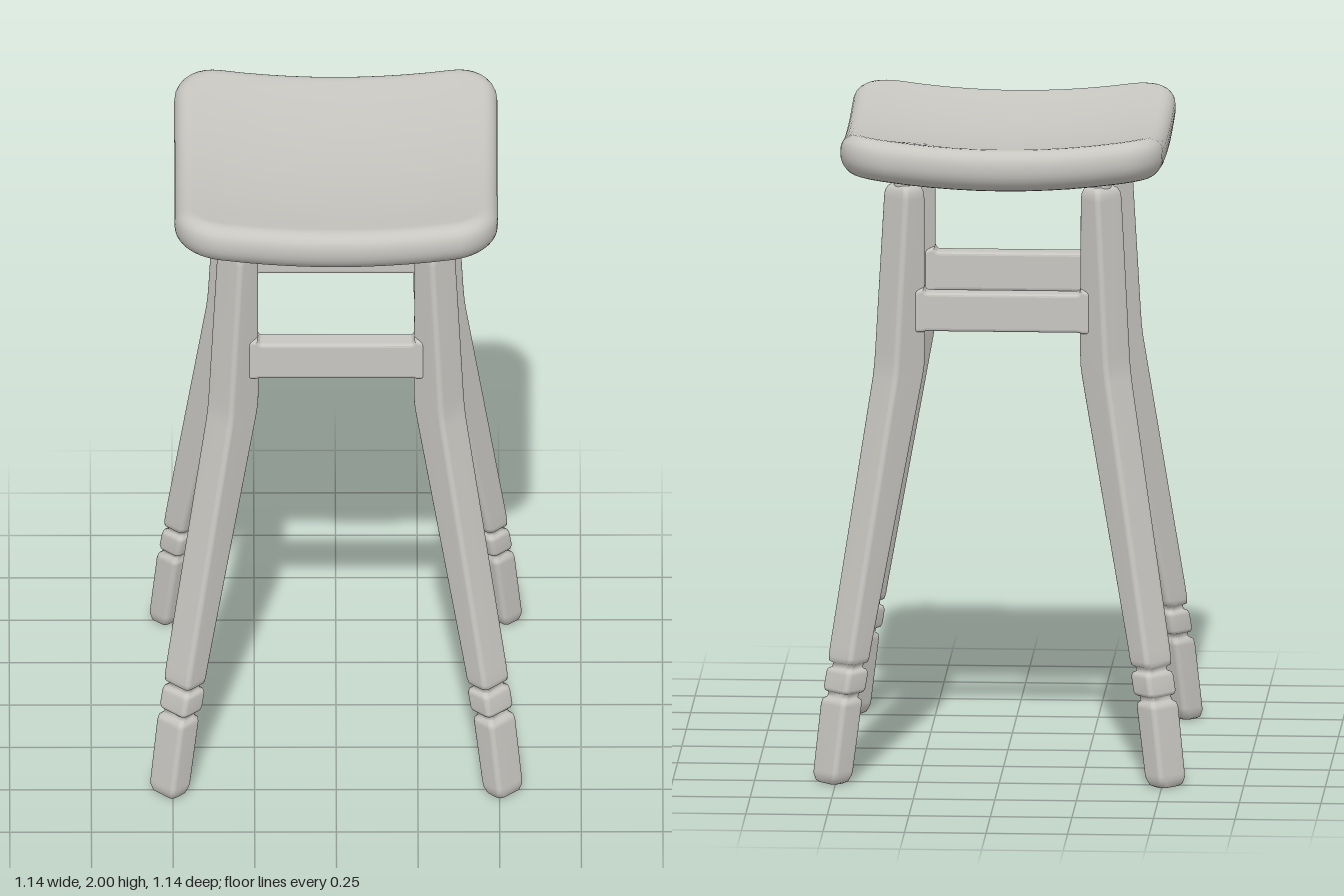
import * as THREE from 'three';

const wood = new THREE.MeshStandardMaterial({ color: 0xc8c6c1 });
wood.name = 'pale grey';

// Points of a rounded rectangle in the xz plane, with subdivided sides
function roundedRect(a, b, r, arc, side) {
  const pts = [];
  const corners = [[1, 1], [-1, 1], [-1, -1], [1, -1]];
  corners.forEach(([sx, sz], q) => {
    const cx = sx * (a - r), cz = sz * (b - r);
    for (let i = 0; i <= arc; i++) {
      const t = (q + i / arc) * Math.PI / 2;
      pts.push([cx + r * Math.cos(t), cz + r * Math.sin(t)]);
    }
    const [nx, nz] = corners[(q + 1) % 4];
    const t = (q + 1) * Math.PI / 2;
    const [px, pz] = pts[pts.length - 1];
    const ex = nx * (a - r) + r * Math.cos(t), ez = nz * (b - r) + r * Math.sin(t);
    for (let i = 1; i < side; i++) {
      pts.push([px + (ex - px) * i / side, pz + (ez - pz) * i / side]);
    }
  });
  return pts;
}

// Skin closed rings listed from bottom to top
function loft(rings) {
  const n = rings[0].length, index = [];
  for (let i = 0; i < rings.length - 1; i++) {
    for (let j = 0; j < n; j++) {
      const A = i * n + j, B = i * n + (j + 1) % n, C = A + n, D = B + n;
      index.push(A, C, B, B, C, D);
    }
  }
  const g = new THREE.BufferGeometry();
  g.setAttribute('position', new THREE.Float32BufferAttribute(rings.flat(2), 3));
  g.setIndex(index);
  g.computeVertexNormals();
  return g;
}

// Dished seat: a rounded slab bent up towards its corners
function seatGeometry() {
  const half = 0.495, corner = 0.14, edge = 0.058, low = 1.8, high = 1.93, steps = 6;
  const rings = [];
  const ring = (inset, y, scale = 1) => rings.push(
    roundedRect(half - inset, half - inset, corner - inset, 8, 10).map(([x, z]) => {
      const px = x * scale, pz = z * scale;
      return [px, y + 0.2 * (px * px + pz * pz), pz];
    }));
  for (let i = 0; i < 10; i++) ring(edge, low, Math.max(i / 10, 0.001));
  for (let i = 0; i <= steps; i++) {
    const t = i / steps * Math.PI / 2;
    ring(edge * (1 - Math.sin(t)), low + edge * (1 - Math.cos(t)));
  }
  for (let i = 0; i <= steps; i++) {
    const t = i / steps * Math.PI / 2;
    ring(edge * (1 - Math.cos(t)), high - edge * (1 - Math.sin(t)));
  }
  for (let i = 9; i >= 0; i--) ring(edge, high, Math.max(i / 10, 0.001));
  return loft(rings);
}

// Leg sections: height, centre offset along x and z, radial half depth, half width
const legSections = [
  [0, 0.513, 0.001, 0.001], [0, 0.513, 0.024, 0.036], [0.006, 0.512, 0.033, 0.047],
  [0.025, 0.51, 0.04, 0.053], [0.04, 0.508, 0.041, 0.054],
  [0.24, 0.485, 0.043, 0.055], [0.254, 0.483, 0.041, 0.053], [0.262, 0.481, 0.032, 0.044],
  [0.275, 0.477, 0.032, 0.044], [0.28, 0.476, 0.041, 0.053], [0.29, 0.475, 0.044, 0.056],
  [0.335, 0.468, 0.044, 0.056], [0.346, 0.467, 0.041, 0.053], [0.351, 0.466, 0.032, 0.044],
  [0.364, 0.465, 0.032, 0.044], [0.37, 0.464, 0.041, 0.053], [0.385, 0.462, 0.043, 0.055],
  [0.42, 0.457, 0.044, 0.055], [1.23, 0.321, 0.062, 0.055], [1.27, 0.316, 0.063, 0.055],
  [1.31, 0.314, 0.062, 0.055], [1.79, 0.302, 0.043, 0.054], [1.81, 0.302, 0.041, 0.052],
  [1.824, 0.301, 0.035, 0.046], [1.83, 0.301, 0.026, 0.037], [1.83, 0.301, 0.001, 0.001],
];

function legGeometry() {
  return loft(legSections.map(([y, c, a, b]) =>
    roundedRect(a, b, Math.min(0.016, a * 0.9, b * 0.9), 4, 1)
      .map(([x, z]) => [x + c * Math.SQRT2, y, z])));
}

// Rail with small fillets where it meets the legs
function railGeometry() {
  const bevel = 0.01, h = 0.06 - bevel, end = 0.285, flare = 0.012;
  const s = new THREE.Shape();
  s.moveTo(-end, -h - flare * 0.3);
  s.lineTo(-0.245, -h - flare * 0.3);
  s.quadraticCurveTo(-0.24, -h, -0.225, -h);
  s.lineTo(0.225, -h);
  s.quadraticCurveTo(0.24, -h, 0.245, -h - flare * 0.3);
  s.lineTo(end, -h - flare * 0.3);
  s.lineTo(end, h);
  s.lineTo(0.245, h + flare);
  s.quadraticCurveTo(0.24, h, 0.225, h);
  s.lineTo(-0.225, h);
  s.quadraticCurveTo(-0.24, h, -0.245, h + flare);
  s.lineTo(-end, h);
  s.closePath();
  const depth = 0.05;
  const g = new THREE.ExtrudeGeometry(s, {
    depth, bevelEnabled: true, bevelSize: bevel, bevelThickness: bevel, bevelSegments: 3, curveSegments: 5,
  });
  return g.translate(0, 0, -depth / 2);
}

export function createModel() {
  const model = new THREE.Group();
  model.name = 'stool';
  const add = (parent, geometry, name) => {
    const mesh = new THREE.Mesh(geometry, wood);
    mesh.name = name;
    parent.add(mesh);
    return mesh;
  };

  add(model, seatGeometry(), 'seat');

  // Four legs on the diagonals, each with a dowel into the seat
  const leg = legGeometry(), rail = railGeometry();
  const dowel = new THREE.CylinderGeometry(0.034, 0.034, 0.07, 24);
  const names = ['backLeft', 'backRight', 'frontRight', 'frontLeft'];
  const sides = ['front', 'left', 'back', 'right'];
  for (let i = 0; i < 4; i++) {
    const corner = new THREE.Group();
    corner.name = names[i] + 'Leg';
    corner.rotation.y = Math.PI / 4 + i * Math.PI / 2;
    add(corner, leg, 'legPost');
    add(corner, dowel, 'dowel').position.set(0.3 * Math.SQRT2, 1.85, 0);
    model.add(corner);

    // Rail between neighbouring legs
    const span = new THREE.Group();
    span.name = sides[i] + 'Rail';
    span.rotation.y = i * Math.PI / 2;
    add(span, rail, 'rail').position.set(0, 1.437, 0.308);
    model.add(span);
  }
  return model;
}
